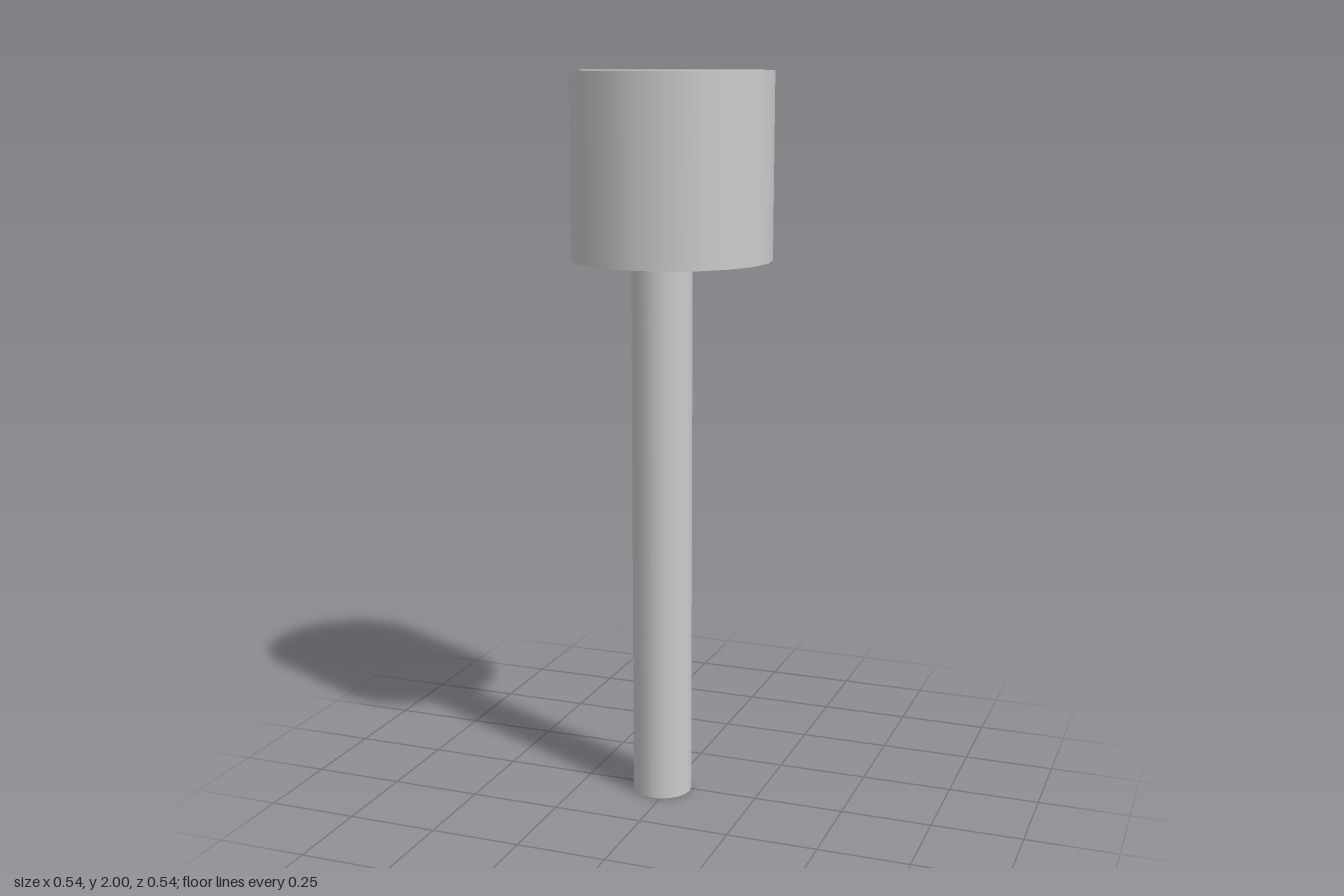
import * as THREE from 'three';

export function createModel() {
  const group = new THREE.Group();
  const material = new THREE.MeshStandardMaterial({ color: 0xcccccc });

  // Upright capped cylinder spanning bottom to top
  function addCylinder(name, radius, bottom, top, x, z) {
    const geometry = new THREE.CylinderGeometry(radius, radius, top - bottom, 20);
    const mesh = new THREE.Mesh(geometry, material);
    mesh.name = name;
    mesh.position.set(x, (bottom + top) / 2, z);
    group.add(mesh);
  }

  // Slim handle, set slightly off the head's axis
  addCylinder('handle', 0.082, 0, 1.505, -0.022, 0.016);
  // Wide drum-shaped head
  addCylinder('head', 0.27, 1.505, 2, 0, 0);

  return group;
}
